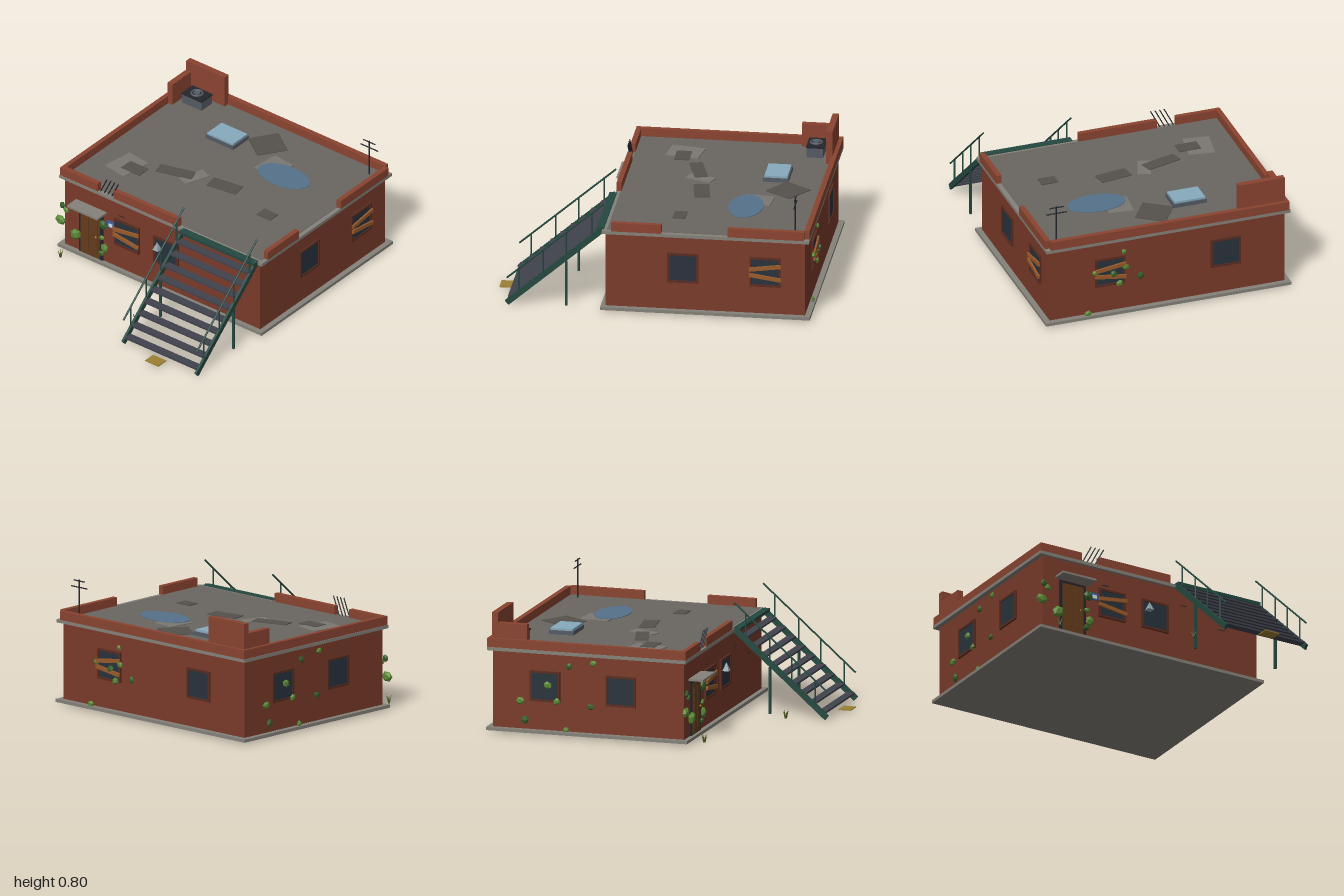
import * as THREE from 'three';

const COLORS = {
  brick: 0x7a3b2a, brickLight: 0x8a4430, concrete: 0x85817a, roof: 0x6a6661, patch: 0x7b7873, sheet: 0x55524e,
  glass: 0x28323c, frame: 0x5a2c20, plank: 0x9a5a2a, door: 0x643c1c, dark: 0x23262b, steel: 0x555a64,
  green: 0x24483f, tread: 0x40424c, leaf: 0x5a8a35, leafDark: 0x34602a, grass: 0x4f5a22, skylight: 0x86aabd,
  puddle: 0x55718a, mat: 0x9a8030, blue: 0x2f5fa8, lamp: 0x8fa3ad, white: 0xd8dde0,
};
const mats = {};
const mat = (name) => (mats[name] ??= new THREE.MeshStandardMaterial({ color: COLORS[name], flatShading: true }));

function add(parent, name, geo, color, x = 0, y = 0, z = 0) {
  const m = new THREE.Mesh(geo, mat(color));
  m.name = name;
  m.position.set(x, y, z);
  parent.add(m);
  return m;
}
const box = (p, name, color, w, h, d, x, y, z) => add(p, name, new THREE.BoxGeometry(w, h, d), color, x, y, z);

// box given by its limits
const span = (p, name, color, x0, x1, y0, y1, z0, z1) =>
  box(p, name, color, x1 - x0, y1 - y0, z1 - z0, (x0 + x1) / 2, (y0 + y1) / 2, (z0 + z1) / 2);

// thin round or square bar between two points
function bar(p, name, color, a, b, r, sides = 6) {
  const A = new THREE.Vector3(...a), B = new THREE.Vector3(...b);
  const m = add(p, name, new THREE.CylinderGeometry(r, r, A.distanceTo(B), sides), color);
  m.position.copy(A).add(B).multiplyScalar(0.5);
  m.quaternion.setFromUnitVectors(new THREE.Vector3(0, 1, 0), B.sub(A).normalize());
  return m;
}

function group(parent, name, x = 0, y = 0, z = 0, ry = 0) {
  const g = new THREE.Group();
  g.name = name;
  g.position.set(x, y, z);
  g.rotation.y = ry;
  parent.add(g);
  return g;
}

// window facing local +z, optionally boarded up
function addWindow(parent, x, y, z, ry, boarded) {
  const g = group(parent, 'window', x, y, z, ry);
  box(g, 'windowGlass', 'glass', 0.17, 0.17, 0.01, 0, 0, 0);
  for (const s of [-1, 1]) {
    box(g, 'windowJamb', 'frame', 0.014, 0.196, 0.022, s * 0.092, 0, 0);
    box(g, 'windowRail', 'frame', 0.198, 0.014, 0.022, 0, s * 0.091, 0);
    if (boarded) {
      const b = box(g, 'board', 'plank', 0.205, 0.025, 0.012, 0, s * 0.032, 0.017);
      b.rotation.z = s * 0.14;
    }
  }
}

// leaf clumps on a wall, each [along, height, radius], facing local +z
function addVines(parent, name, x, z, ry, clumps) {
  const g = group(parent, name, x, 0, z, ry);
  clumps.forEach(([u, y, r], i) => {
    const m = add(g, 'leafClump', new THREE.IcosahedronGeometry(r, 0), i % 3 === 1 ? 'leafDark' : 'leaf', u, y, 0.012);
    m.scale.set(1, 0.85, 0.5);
    m.rotation.z = i * 1.3;
  });
}

function addStairs(parent) {
  const g = group(parent, 'stairs');
  const slope = (0.55 - 0.02) / (0.92 - 0.31);
  const yAt = (z) => 0.02 + (0.92 - z) * slope;
  const angle = Math.atan(slope);
  for (const x of [0.193, 0.776]) {
    const s = box(g, 'stringer', 'green', 0.016, 0.036, 0.81, x, yAt(0.615), 0.615);
    s.rotation.x = angle;
    bar(g, 'handrail', 'green', [x, 0.187, 0.92], [x, 0.717, 0.31], 0.006);
    for (const z of [0.845, 0.69, 0.545, 0.385])
      bar(g, 'railPost', 'green', [x, yAt(z), z], [x, yAt(z) + 0.167, z], 0.005);
    span(g, 'supportLeg', 'green', x - 0.007, x + 0.007, 0.02, 0.32, 0.538, 0.552);
  }
  for (let i = 0; i < 9; i++) {
    const z = 0.888 - i * 0.0645;
    box(g, 'tread', 'tread', 0.57, 0.012, 0.054, 0.485, yAt(z) + 0.006, z);
  }
  span(g, 'landingBeam', 'green', 0.185, 0.785, 0.537, 0.558, 0.305, 0.352);
}

function addGrass(parent, x, z) {
  const g = group(parent, 'grassTuft', x, 0.02, z);
  for (let i = 0; i < 6; i++) {
    const a = (i / 6) * Math.PI * 2;
    const h = 0.045 + (i % 3) * 0.008;
    const blade = add(g, 'grassBlade', new THREE.ConeGeometry(0.006, h, 4), 'grass', Math.cos(a) * 0.01, h / 2, Math.sin(a) * 0.01);
    blade.rotation.set(Math.sin(a) * 0.3, 0, -Math.cos(a) * 0.3);
  }
}

export function createModel() {
  const root = new THREE.Group();
  root.name = 'building';

  // shell
  span(root, 'baseSlab', 'concrete', -0.805, 0.825, 0.02, 0.04, -1, 0.325);
  span(root, 'walls', 'brick', -0.77, 0.79, 0.04, 0.535, -0.965, 0.295);
  span(root, 'cornice', 'concrete', -0.8, 0.82, 0.532, 0.553, -0.995, 0.315);
  span(root, 'roofDeck', 'roof', -0.77, 0.79, 0.55, 0.556, -0.965, 0.285);

  // broken parapet
  const parapet = (...s) => span(root, 'parapet', 'brickLight', s[0], s[1], 0.553, 0.61, s[2], s[3]);
  parapet(-0.795, 0.79, -0.995, -0.962);
  parapet(-0.795, -0.765, -0.962, 0.312);
  parapet(0.787, 0.82, -0.962, -0.48);
  parapet(0.787, 0.82, -0.06, 0.255);
  parapet(-0.765, -0.495, 0.28, 0.312);
  parapet(-0.37, 0.15, 0.28, 0.312);
  span(root, 'tallBackWall', 'brickLight', -0.772, -0.465, 0.555, 0.773, -0.97, -0.93);
  span(root, 'tallSideWall', 'brickLight', -0.772, -0.732, 0.555, 0.707, -0.93, -0.74);
  for (let i = 0; i < 4; i++) {
    const x = -0.485 + i * 0.03;
    bar(root, 'rebar', 'dark', [x, 0.55, 0.296], [x + 0.06, 0.668, 0.306], 0.004);
  }

  // windows
  addWindow(root, -0.27, 0.305, 0.297, 0, true);
  addWindow(root, 0.043, 0.305, 0.297, 0, false);
  addWindow(root, 0.792, 0.32, -0.195, Math.PI / 2, false);
  addWindow(root, 0.792, 0.32, -0.715, Math.PI / 2, true);
  addWindow(root, 0.39, 0.32, -0.967, Math.PI, true);
  addWindow(root, -0.38, 0.32, -0.967, Math.PI, false);
  addWindow(root, -0.772, 0.32, -0.62, -Math.PI / 2, false);
  addWindow(root, -0.772, 0.32, -0.12, -Math.PI / 2, false);

  // entrance
  span(root, 'doorFrame', 'dark', -0.652, -0.463, 0.04, 0.39, 0.29, 0.304);
  span(root, 'door', 'door', -0.632, -0.482, 0.045, 0.37, 0.29, 0.31);
  for (const x of [-0.595, -0.52]) span(root, 'doorPanel', 'door', x - 0.025, x + 0.025, 0.08, 0.34, 0.3, 0.313);
  add(root, 'doorKnob', new THREE.SphereGeometry(0.007, 8, 6), 'mat', -0.507, 0.205, 0.316);
  span(root, 'doorCanopy', 'concrete', -0.68, -0.435, 0.398, 0.412, 0.29, 0.39);
  span(root, 'wallPlate', 'blue', -0.43, -0.365, 0.312, 0.357, 0.295, 0.303);
  span(root, 'wallPlateCentre', 'white', -0.412, -0.384, 0.32, 0.344, 0.3, 0.306);
  const lamp = add(root, 'wallLamp', new THREE.ConeGeometry(0.03, 0.055, 4), 'lamp', -0.01, 0.352, 0.325);
  lamp.rotation.y = Math.PI / 4;
  for (const [x, y] of [[-0.315, 0.43], [0.255, 0.427], [0.53, 0.325]])
    box(root, 'wallCrack', 'dark', 0.045, 0.005, 0.004, x, y, 0.296);

  // rooftop equipment
  const ac = group(root, 'coolingUnit', -0.62, 0.556, -0.847);
  box(ac, 'unitBody', 'steel', 0.155, 0.07, 0.105, 0, 0.04, 0);
  box(ac, 'unitLid', 'dark', 0.162, 0.008, 0.112, 0, 0.072, 0);
  add(ac, 'fanRing', new THREE.TorusGeometry(0.036, 0.006, 6, 16), 'steel', 0, 0.08, 0).rotation.x = Math.PI / 2;
  add(ac, 'fanHub', new THREE.CylinderGeometry(0.022, 0.022, 0.012, 8), 'steel', 0, 0.08, 0);
  span(root, 'skylightFrame', 'steel', -0.337, -0.118, 0.555, 0.582, -0.737, -0.577);
  span(root, 'skylightGlass', 'skylight', -0.33, -0.125, 0.575, 0.595, -0.73, -0.584);
  const puddle = add(root, 'puddle', new THREE.CylinderGeometry(1, 1, 0.004, 32), 'puddle', 0.325, 0.567, -0.53);
  puddle.scale.set(0.19, 1, 0.11);
  bar(root, 'antennaPole', 'dark', [0.72, 0.555, -0.895], [0.72, 0.805, -0.895], 0.005);
  bar(root, 'antennaArm', 'dark', [0.65, 0.756, -0.895], [0.788, 0.756, -0.895], 0.004);
  bar(root, 'antennaArm', 'dark', [0.672, 0.797, -0.895], [0.766, 0.797, -0.895], 0.004);

  // roof patches and loose sheets: x, z, width, depth, turn
  [[-0.535, -0.03, 0.17, 0.215, -0.15], [-0.118, -0.183, 0.085, 0.175, -0.35],
    [0.2, -0.585, 0.16, 0.19, -0.1], [0.505, -0.137, 0.11, 0.08, 0]].forEach(([x, z, w, d, turn], i) => {
    box(root, 'roofPatch', i === 3 ? 'sheet' : 'patch', w, 0.006, d, x, 0.559, z).rotation.y = turn;
  });
  [[-0.24, -0.155, 0.24, 0.085, 0.28], [0.1, -0.22, 0.21, 0.1, 0.15], [-0.465, -0.025, 0.145, 0.095, 0],
    [0.02, -0.755, 0.2, 0.2, -0.6]].forEach(([x, z, w, d, turn]) => {
    box(root, 'looseSheet', 'sheet', w, 0.005, d, x, 0.563, z).rotation.y = turn;
  });

  addStairs(root);
  span(root, 'doormat', 'mat', 0.43, 0.535, 0.02, 0.026, 0.92, 1);

  // plants
  addVines(root, 'frontVines', 0, 0.302, 0, [[-0.79, 0.22, 0.042], [-0.775, 0.335, 0.026], [-0.745, 0.31, 0.024],
    [-0.67, 0.16, 0.045], [-0.45, 0.32, 0.038], [-0.46, 0.22, 0.022], [-0.44, 0.15, 0.035], [-0.465, 0.1, 0.025]]);
  addVines(root, 'backVines', 0.39, -0.968, Math.PI, [[-0.1, 0.33, 0.025], [0.02, 0.3, 0.03], [0.1, 0.34, 0.025],
    [0.06, 0.23, 0.026], [0.2, 0.26, 0.026], [-0.15, 0.05, 0.026], [0.09, 0.45, 0.02]]);
  addVines(root, 'sideVines', -0.772, -0.6, -Math.PI / 2, [[-0.18, 0.22, 0.03], [-0.15, 0.1, 0.03], [0, 0.33, 0.03],
    [0.06, 0.23, 0.026], [0.14, 0.46, 0.025], [0.3, 0.49, 0.024], [0.12, 0.05, 0.024], [0.28, 0.21, 0.024]]);
  addGrass(root, -0.715, 0.41);
  addGrass(root, 0.1, 0.68);

  return root;
}
